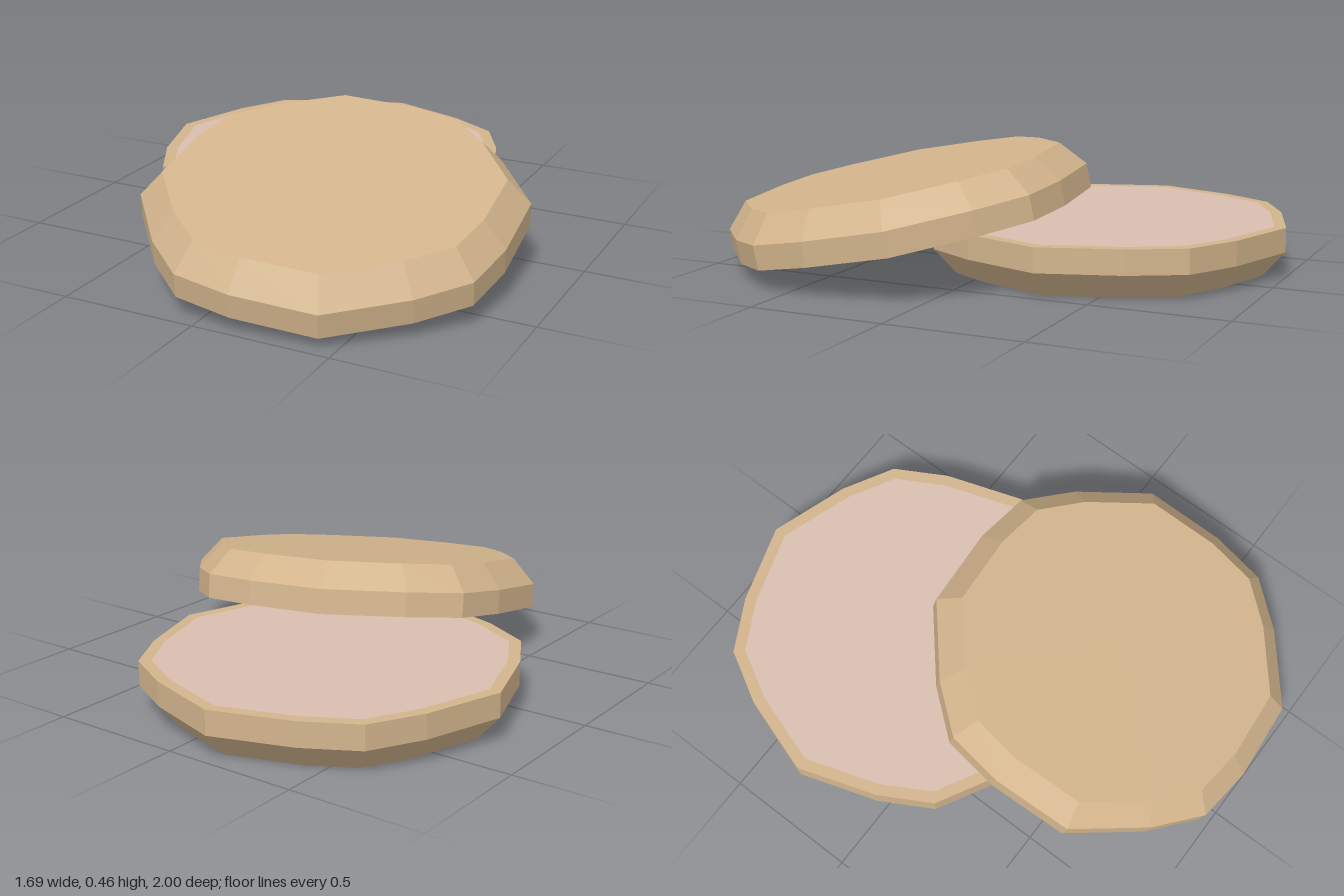
import * as THREE from 'three';

const R = 0.685, H = 0.185, SIDES = 16;

// Lathe a profile, then pull every second corner slightly inward and
// towards the diagonals, giving a rounded-octagon outline.
function facetedLathe(profile) {
  const geo = new THREE.LatheGeometry(profile.map(([r, y]) => new THREE.Vector2(r, y)), SIDES);
  const pos = geo.attributes.position;
  for (let i = 0; i <= SIDES; i++) {
    const odd = i % 2 === 1;
    const shift = odd ? (i % 4 === 1 ? 4 : -4) : 0;
    const angle = THREE.MathUtils.degToRad(i * 22.5 + shift);
    profile.forEach(([r, y], j) => {
      const radius = r * (odd ? 0.962 : 1);
      pos.setXYZ(i * profile.length + j, Math.sin(angle) * radius, y, Math.cos(angle) * radius);
    });
  }
  const flat = geo.toNonIndexed();
  flat.computeVertexNormals();
  return flat;
}

export function createModel() {
  const model = new THREE.Group();
  model.name = 'splitRoundBun';
  const crust = new THREE.MeshStandardMaterial({ color: 0xd2b48c, flatShading: true });
  const filling = new THREE.MeshStandardMaterial({ color: 0xd8beb0, flatShading: true });

  // Cut face lies at y = 0, the bevelled crust hangs below it
  const crustGeo = facetedLathe([[0, -H], [R * 0.876, -H], [R, -0.09], [R, 0], [R * 0.935, 0]]);
  const cutGeo = facetedLathe([[R * 0.935, 0], [0, 0]]);

  function half(name) {
    const g = new THREE.Group();
    g.name = name;
    const shell = new THREE.Mesh(crustGeo, crust);
    shell.name = name + 'Crust';
    const cut = new THREE.Mesh(cutGeo, filling);
    cut.name = name + 'CutFace';
    g.add(shell, cut);
    model.add(g);
    return g;
  }

  // Lower half, lying flat
  half('lowerHalf').position.set(-0.16, H, -0.315);

  // Upper half: turned over, spun an eighth-and-a-half and leaning on the lower one
  const upper = half('upperHalf');
  const up = new THREE.Vector3(0, 1, 0);
  upper.position.set(0.185, 0.166, 0.34);
  upper.quaternion
    .setFromUnitVectors(up, new THREE.Vector3(0.07, 1, 0.18).normalize())
    .multiply(new THREE.Quaternion().setFromAxisAngle(up, Math.PI / 8))
    .multiply(new THREE.Quaternion().setFromAxisAngle(new THREE.Vector3(1, 0, 0), Math.PI));

  return model;
}
